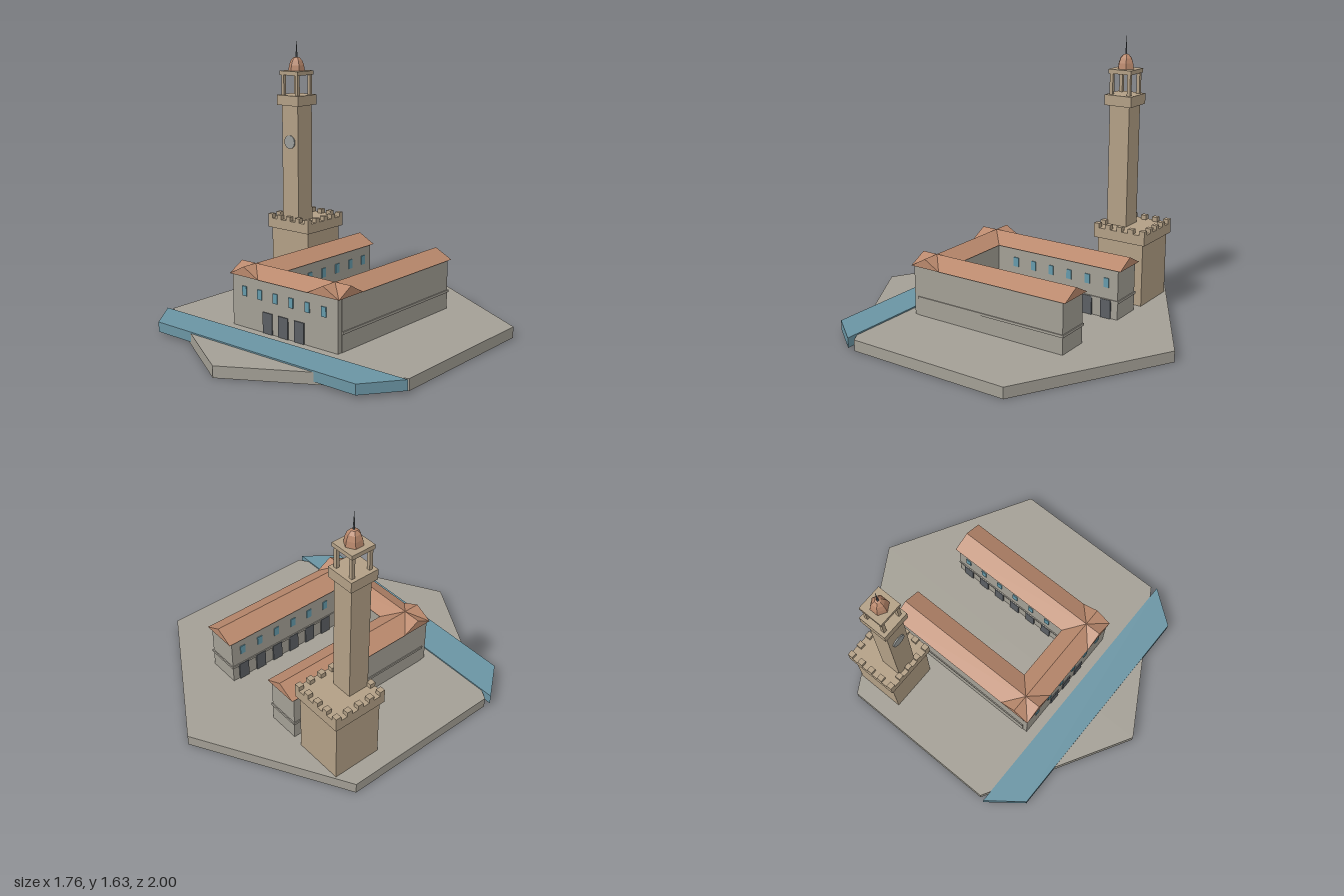
import * as THREE from 'three';

const mat = (name, color) => Object.assign(new THREE.MeshStandardMaterial({ color, flatShading: true }), { name });

export function createModel() {
  const stone = mat('grey stone', 0xa39f95);
  const tan = mat('tan stone', 0xb29f85);
  const tile = mat('terracotta', 0xb9886c);
  const water = mat('water blue', 0x6a94a3);
  const glass = mat('window blue', 0x659aab);
  const dark = mat('dark grey', 0x5b5f63);
  const dial = mat('dial grey', 0x9a9d9a);

  const model = new THREE.Group();
  model.name = 'waterfrontCourtyard';

  const add = (parent, name, geo, material, x = 0, y = 0, z = 0) => {
    const mesh = new THREE.Mesh(geo, material);
    mesh.name = name;
    mesh.position.set(x, y, z);
    parent.add(mesh);
    return mesh;
  };
  // Box standing on y0, centred on x and z
  const block = (parent, name, material, w, y0, y1, d, x, z) =>
    add(parent, name, new THREE.BoxGeometry(w, y1 - y0, d), material, x, (y0 + y1) / 2, z);
  // Gable roof with its ridge along z
  const gable = (parent, name, width, height, length) => {
    const s = new THREE.Shape([
      new THREE.Vector2(-width / 2, 0), new THREE.Vector2(width / 2, 0), new THREE.Vector2(0, height)]);
    const g = new THREE.ExtrudeGeometry(s, { depth: length, bevelEnabled: false });
    g.translate(0, 0, -length / 2);
    return add(parent, name, g, tile);
  };
  const group = (name) => {
    const g = new THREE.Group();
    g.name = name;
    model.add(g);
    return g;
  };

  // Hexagonal ground slab
  const G = 0.065;
  add(model, 'ground', new THREE.CylinderGeometry(1, 1, G, 6), stone, 0, G / 2, 0);

  // Canal strip in front
  const canal = new THREE.Shape([[-0.72, -0.74], [0.72, -0.74], [0.88, -0.533], [-0.88, -0.533]]
    .map(([x, y]) => new THREE.Vector2(x, y)));
  const canalGeo = new THREE.ExtrudeGeometry(canal, { depth: 0.058, bevelEnabled: false });
  canalGeo.rotateX(-Math.PI / 2);
  add(model, 'canal', canalGeo, water, 0, 0.015, 0);

  // U-shaped palace: front range
  const palace = group('palace');
  const EAVE = 0.363, RISE = 0.057;
  block(palace, 'frontRange', stone, 0.77, G, EAVE, 0.18, 0, 0.38);
  const frontRoof = gable(palace, 'frontRoof', 0.2, RISE, 0.8);
  frontRoof.rotation.y = Math.PI / 2;
  frontRoof.position.set(0, EAVE, 0.38);
  for (let i = 0; i < 6; i++)
    block(palace, 'frontWindow', glass, 0.032, 0.25, 0.306, 0.009, (i - 2.5) * 0.1165, 0.4715);
  for (let i = -1; i <= 1; i++)
    block(palace, 'frontDoor', dark, 0.07, G, 0.185, 0.009, i * 0.1165, 0.4715);

  // Mirrored wings with openings towards the courtyard
  for (const s of [-1, 1]) {
    block(palace, 'wing', stone, 0.196, G, EAVE, 0.98, s * 0.29, -0.05);
    block(palace, 'wingBand', stone, 0.208, 0.165, 0.18, 0.986, s * 0.29, -0.053);
    gable(palace, 'wingRoof', 0.22, RISE, 1.04).position.set(s * 0.29, EAVE, -0.04);
    for (let i = 0; i < 6; i++) {
      const z = -0.465 + i * 0.125;
      block(palace, 'wingWindow', glass, 0.009, 0.25, 0.306, 0.034, s * 0.191, z);
      block(palace, 'wingDoor', dark, 0.009, G, 0.178, 0.066, s * 0.187, z);
    }
  }

  // Tower: battlemented base
  const tower = group('tower');
  const TX = -0.607, BZ = -0.4, TZ = -0.325;
  block(tower, 'towerBase', tan, 0.3, G, 0.445, 0.3, TX, BZ);
  block(tower, 'parapet', tan, 0.336, 0.445, 0.505, 0.336, TX, BZ);
  for (let i = -2; i <= 2; i++)
    for (let j = -2; j <= 2; j++)
      if (Math.abs(i) === 2 || Math.abs(j) === 2)
        block(tower, 'merlon', tan, 0.034, 0.505, 0.532, 0.034, TX + i * 0.0755, BZ + j * 0.0755);

  // Shaft, clock and gallery
  block(tower, 'shaft', tan, 0.13, 0.445, 1.23, 0.13, TX, TZ);
  const clockGeo = new THREE.CylinderGeometry(0.042, 0.042, 0.009, 16);
  clockGeo.rotateX(Math.PI / 2);
  add(tower, 'clockDial', clockGeo, dial, TX, 1.003, TZ + 0.068);
  block(tower, 'gallery', tan, 0.174, 1.23, 1.292, 0.174, TX, TZ);

  // Open belfry
  for (const sx of [-1, 1])
    for (const sz of [-1, 1])
      block(tower, 'belfryPost', tan, 0.02, 1.292, 1.415, 0.02, TX + sx * 0.057, TZ + sz * 0.057);
  block(tower, 'belfrySlab', tan, 0.148, 1.415, 1.44, 0.148, TX, TZ);

  // Six-sided dome and spire
  const domeProfile = [[0.052, 0], [0.047, 0.034], [0.036, 0.063], [0.018, 0.081], [0, 0.086]]
    .map(([r, y]) => new THREE.Vector2(r, y));
  add(tower, 'dome', new THREE.LatheGeometry(domeProfile, 6), tile, TX, 1.44, TZ);
  add(tower, 'spire', new THREE.ConeGeometry(0.007, 0.12, 6), dark, TX, 1.575, TZ);

  return model;
}
